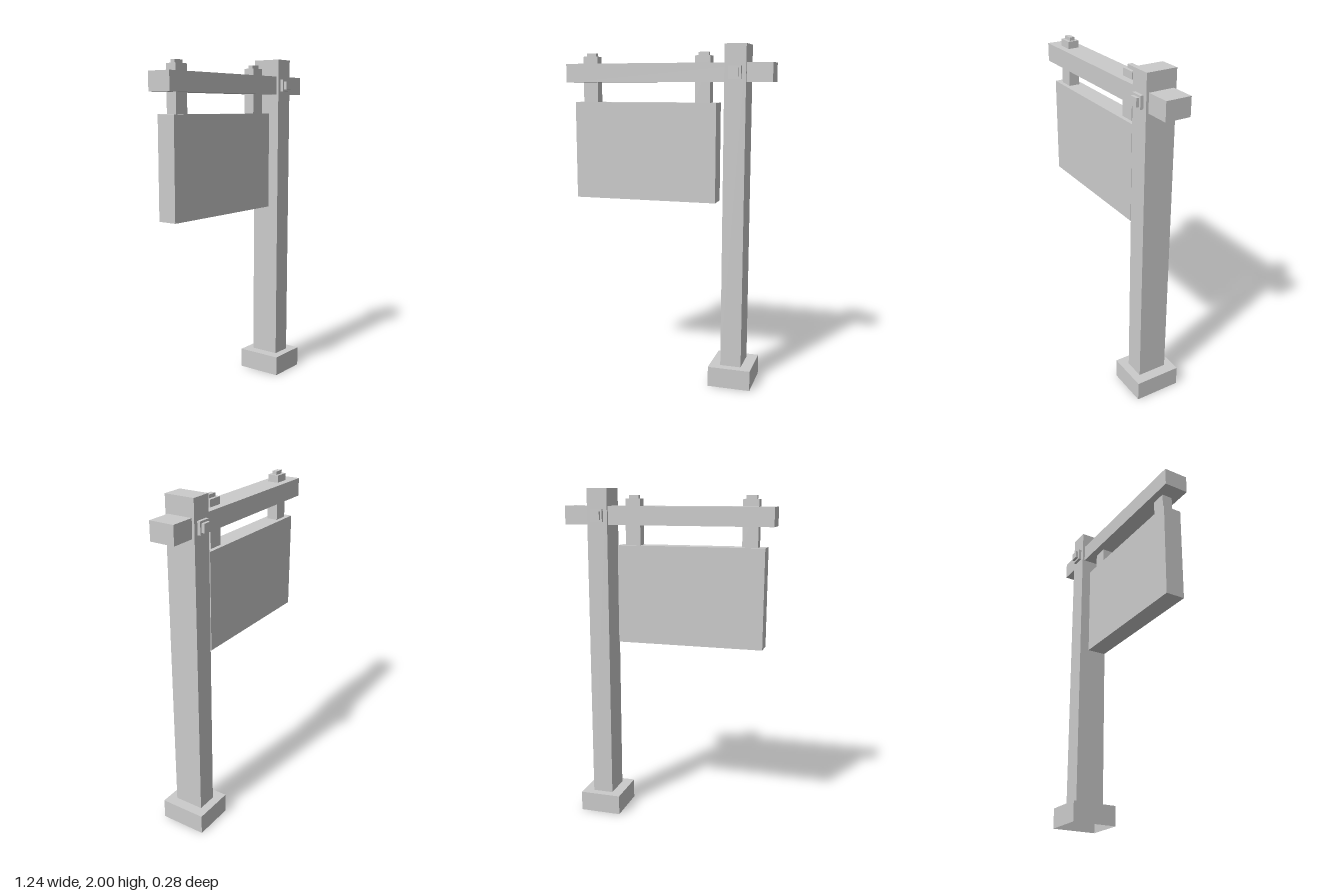
import * as THREE from 'three';

const grey = new THREE.MeshStandardMaterial({ color: 0xcccccc, flatShading: true });
const greyThin = new THREE.MeshStandardMaterial({ color: 0xcccccc, flatShading: true, side: THREE.DoubleSide });

// Box given by its limits on each axis
function block(name, [x0, x1], [y0, y1], [z0, z1]) {
  const mesh = new THREE.Mesh(new THREE.BoxGeometry(x1 - x0, y1 - y0, z1 - z0), grey);
  mesh.position.set((x0 + x1) / 2, (y0 + y1) / 2, (z0 + z1) / 2);
  mesh.name = name;
  return mesh;
}

// Turn a box into a hollow shell by leaving out some of its sides (2 = top, 3 = bottom)
function openUp(mesh, sides) {
  const index = [...mesh.geometry.index.array];
  mesh.geometry.setIndex(index.filter((_, i) => !sides.includes(Math.floor(i / 6))));
  mesh.geometry.clearGroups();
  mesh.material = greyThin;
  return mesh;
}

export function createModel() {
  const model = new THREE.Group();
  model.name = 'hangingSign';
  const postX = 0.411;

  // Hollow post standing in a hollow foot, both open underneath
  const postSpan = [postX - 0.062, postX + 0.062];
  model.add(openUp(block('post', postSpan, [0.12, 2], [-0.09, 0.09]), [3]));
  const footSpan = [postX - 0.126, postX + 0.126];
  model.add(openUp(block('footWalls', footSpan, [0, 0.12], [-0.14, 0.14]), [2, 3]));

  // Top of the foot, a flat ring around the post
  const rect = (Type, w, d) => new Type([[-w, -d], [w, -d], [w, d], [-w, d]].map(([x, y]) => new THREE.Vector2(x, y)));
  const ring = rect(THREE.Shape, 0.126, 0.14);
  ring.holes.push(rect(THREE.Path, 0.062, 0.09));
  const footTop = new THREE.Mesh(new THREE.ShapeGeometry(ring).rotateX(-Math.PI / 2), greyThin);
  footTop.position.set(postX, 0.12, 0);
  footTop.name = 'footTop';
  model.add(footTop);

  // Cross beam and sign board
  model.add(block('crossBeam', [-0.622, 0.62], [1.79, 1.898], [-0.075, 0.075]));
  model.add(block('signBoard', [-0.573, 0.297], [1.095, 1.673], [-0.058, 0.058]));

  // Hangers pass through the beam and end in a small cap
  for (const x of [-0.483, 0.21]) {
    model.add(block('hanger', [x - 0.045, x + 0.045], [1.673, 1.94], [-0.033, 0.033]));
    model.add(block('hangerCap', [x - 0.03, x + 0.03], [1.94, 1.96], [-0.015, 0.015]));
  }

  // Stepped bolts on the front and back of the post
  for (const side of [1, -1]) {
    const depth = (a, b) => (side > 0 ? [a, b] : [-b, -a]);
    model.add(block('boltPlate', [postX - 0.037, postX + 0.037], [1.807, 1.88], depth(0.09, 0.108)));
    model.add(block('boltHead', [postX - 0.026, postX + 0.026], [1.819, 1.868], depth(0.108, 0.125)));
  }
  return model;
}
